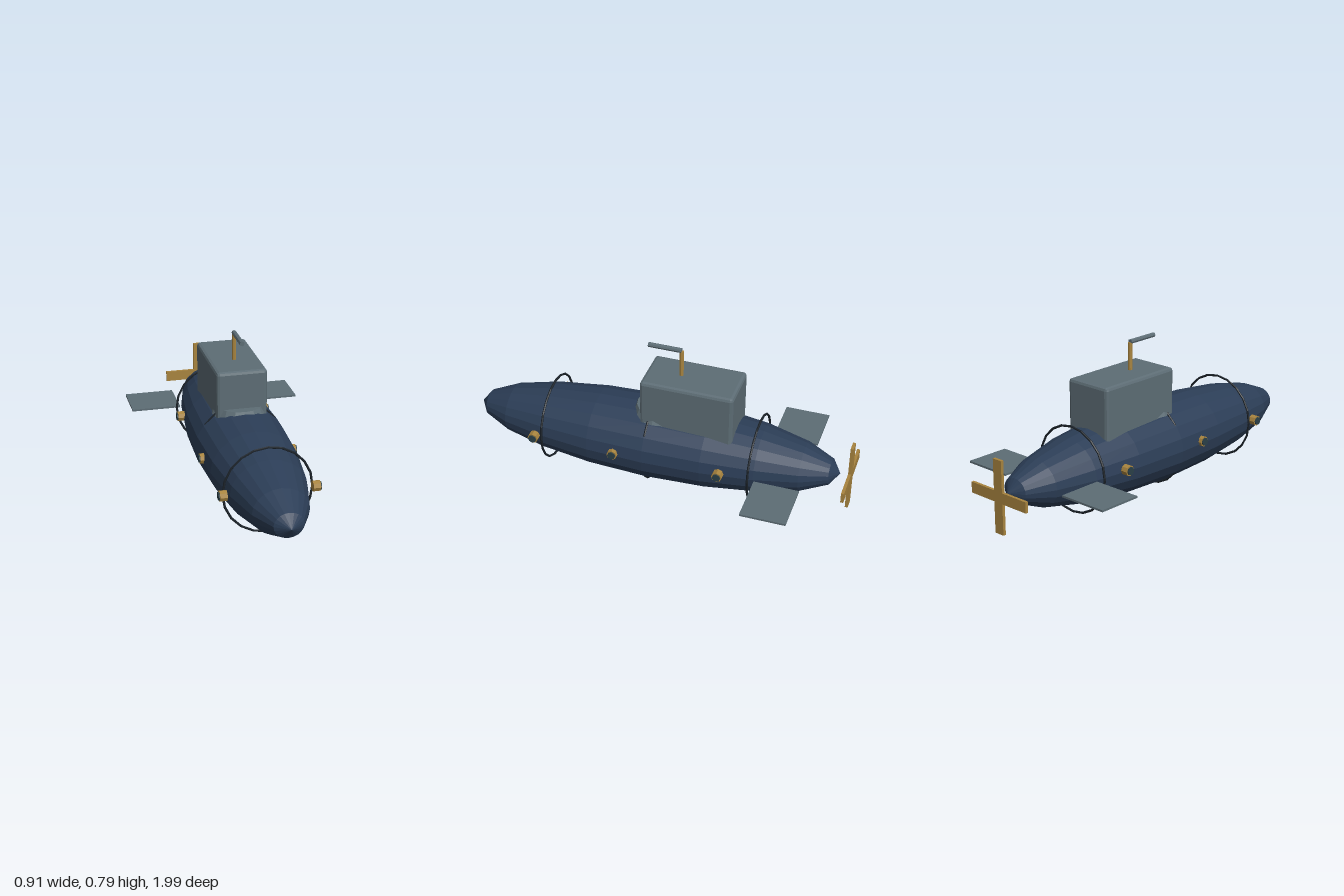
import * as THREE from 'three';
import { RoundedBoxGeometry } from 'three/addons/geometries/RoundedBoxGeometry.js';

const paint = (color) => new THREE.MeshStandardMaterial({ color, flatShading: true });

export function createModel() {
  const model = new THREE.Group();
  const navy = paint(0x2c3e57);
  const grey = paint(0x5d6d75);
  const brass = paint(0xa8843f);
  const dark = paint(0x1b2229);
  const glass = paint(0x2a4048);
  const axisY = 0.23;

  function add(name, geometry, material, x, y, z, parent = model) {
    const mesh = new THREE.Mesh(geometry, material);
    mesh.name = name;
    mesh.position.set(x, y, z);
    parent.add(mesh);
    return mesh;
  }

  // Hull: stretched sphere with its poles at bow and stern
  const hull = new THREE.SphereGeometry(1, 20, 10).rotateX(Math.PI / 2).scale(0.236, 0.205, 0.967);
  add('hull', hull, navy, 0, axisY, 0.027);

  // Hull bands
  for (const z of [0.572, 0.026, -0.52]) {
    add('hullBand', new THREE.TorusGeometry(0.22, 0.006, 6, 20), dark, 0, axisY, z);
  }

  // Conning tower and the low collar at its foot
  add('tower', new RoundedBoxGeometry(0.26, 0.3, 0.48, 1, 0.016), grey, 0, 0.49, -0.17);
  add('towerCollar', new THREE.CylinderGeometry(0.12, 0.14, 0.043, 16), grey, 0, 0.4215, 0);

  // Periscope
  const periscope = new THREE.Group();
  periscope.name = 'periscope';
  model.add(periscope);
  add('periscopeTube', new THREE.CylinderGeometry(0.011, 0.011, 0.16, 8), brass, 0, 0.7, -0.108, periscope);
  const head = new THREE.CylinderGeometry(0.0125, 0.0125, 0.172, 8).rotateX(Math.PI / 2);
  add('periscopeHead', head, grey, 0, 0.784, -0.022, periscope);

  // Stern planes and portholes, mirrored left and right
  for (const side of [1, -1]) {
    add('sternPlane', new THREE.BoxGeometry(0.26, 0.01, 0.23), grey, side * 0.326, 0.223, -0.663);
    for (const z of [0.61, 0.18, -0.37]) {
      const porthole = new THREE.Group();
      porthole.name = 'porthole';
      porthole.position.set(side * 0.227, 0.243, z);
      model.add(porthole);
      const rim = new THREE.CylinderGeometry(0.027, 0.027, 0.036, 8).rotateZ(Math.PI / 2);
      add('portholeRim', rim, brass, 0, 0, 0, porthole);
      const pane = new THREE.CylinderGeometry(0.021, 0.021, 0.01, 8).rotateZ(Math.PI / 2);
      add('portholeGlass', pane, glass, side * 0.019, 0, 0, porthole);
    }
  }

  // Propeller: two crossed blades
  const propeller = new THREE.Group();
  propeller.name = 'propeller';
  propeller.position.set(0, axisY, -0.99);
  model.add(propeller);
  for (let i = 0; i < 2; i++) {
    const blade = add('propellerBlade', new THREE.BoxGeometry(0.37, 0.055, 0.015), brass, 0, 0, 0, propeller);
    blade.rotation.z = (i * Math.PI) / 2;
  }

  return model;
}
